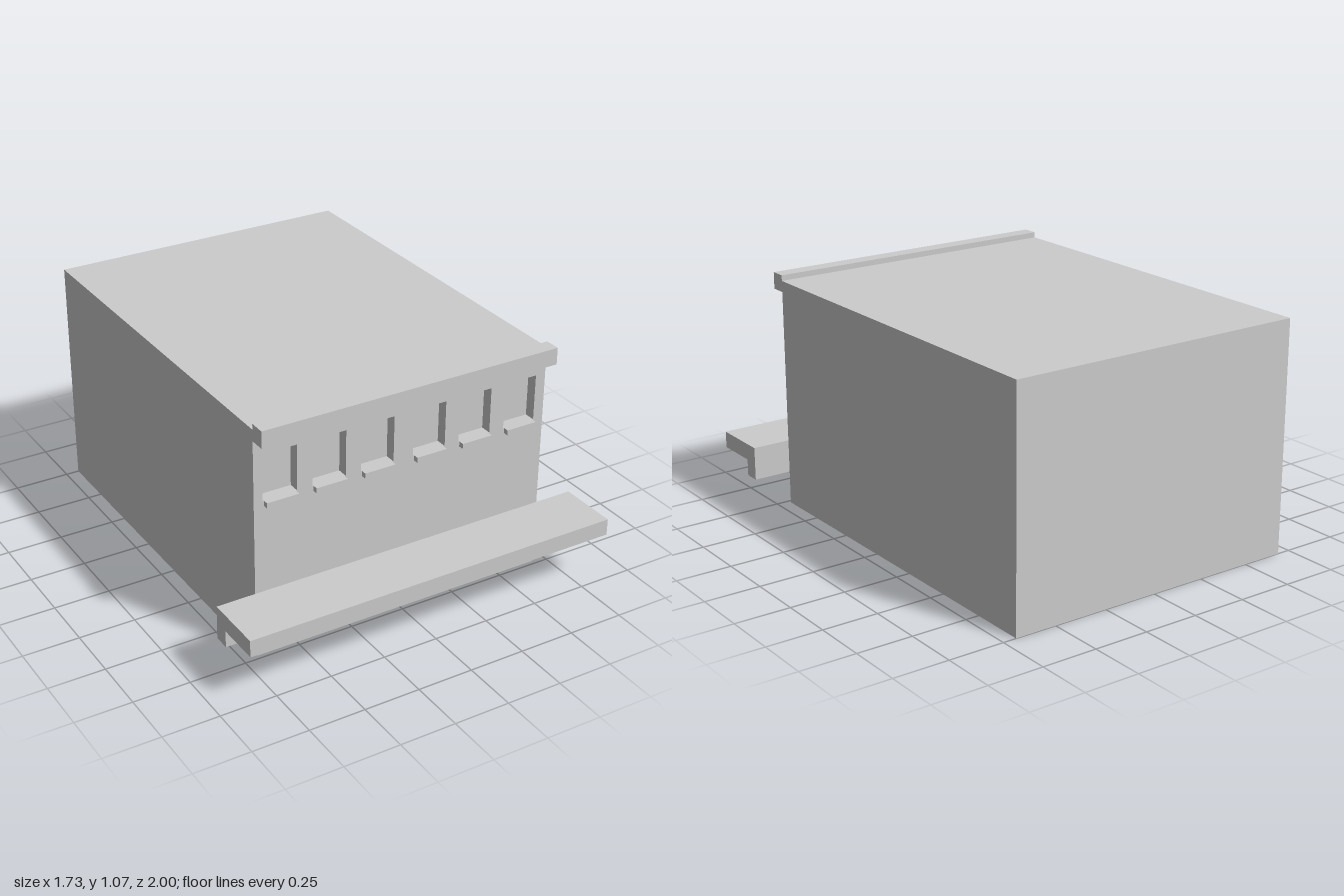
import * as THREE from 'three';

const material = new THREE.MeshStandardMaterial({ color: 0xcccccc, flatShading: true });

// Box given by its min and max corners
function block(name, [x0, y0, z0], [x1, y1, z1]) {
  const geometry = new THREE.BoxGeometry(x1 - x0, y1 - y0, z1 - z0);
  geometry.translate((x0 + x1) / 2, (y0 + y1) / 2, (z0 + z1) / 2);
  const mesh = new THREE.Mesh(geometry, material);
  mesh.name = name;
  return mesh;
}

// Counter-clockwise rectangle, or clockwise for a hole
function rectangle(target, x0, y0, x1, y1, clockwise = false) {
  const corners = [[x0, y0], [x1, y0], [x1, y1], [x0, y1]];
  if (clockwise) corners.reverse();
  target.setFromPoints(corners.map(([x, y]) => new THREE.Vector2(x, y)));
  return target;
}

export function createModel() {
  const model = new THREE.Group();
  model.name = 'storefrontBuilding';

  const halfWidth = 0.69, height = 1.04, front = 0.73, recess = 0.05;
  const windowCentres = [-0.573, -0.351, -0.127, 0.12, 0.342, 0.566];
  const windowHalf = 0.077, windowBottom = 0.716, windowTop = 0.921;

  // Main volume; its front forms the back of the window recesses
  model.add(block('body', [-halfWidth, 0, -1], [halfWidth, height, front - recess]));

  // Front wall pierced by the window openings
  const wall = rectangle(new THREE.Shape(), -halfWidth, 0, halfWidth, height);
  for (const x of windowCentres) {
    wall.holes.push(rectangle(new THREE.Path(), x - windowHalf, windowBottom, x + windowHalf, windowTop, true));
  }
  const wallGeometry = new THREE.ExtrudeGeometry(wall, { depth: recess, bevelEnabled: false });
  wallGeometry.translate(0, 0, front - recess);
  const facade = new THREE.Mesh(wallGeometry, material);
  facade.name = 'facade';
  model.add(facade);

  // Window sills
  const sills = new THREE.Group();
  sills.name = 'windowSills';
  for (const x of windowCentres) {
    sills.add(block('windowSill', [x - 0.072, 0.693, front], [x + 0.072, windowBottom, 0.755]));
  }
  model.add(sills);

  // Cornice along the top of the front wall
  model.add(block('cornice', [-halfWidth, 0.99, front], [halfWidth, 1.065, 0.8]));

  // Canopy with an L-shaped section, wider than the building
  const canopy = new THREE.Group();
  canopy.name = 'canopy';
  canopy.add(block('canopySlab', [-0.863, 0.225, front], [0.863, 0.3, 1]));
  canopy.add(block('canopyBracket', [-0.863, 0.15, front], [0.863, 0.225, 0.8]));
  model.add(canopy);

  return model;
}
